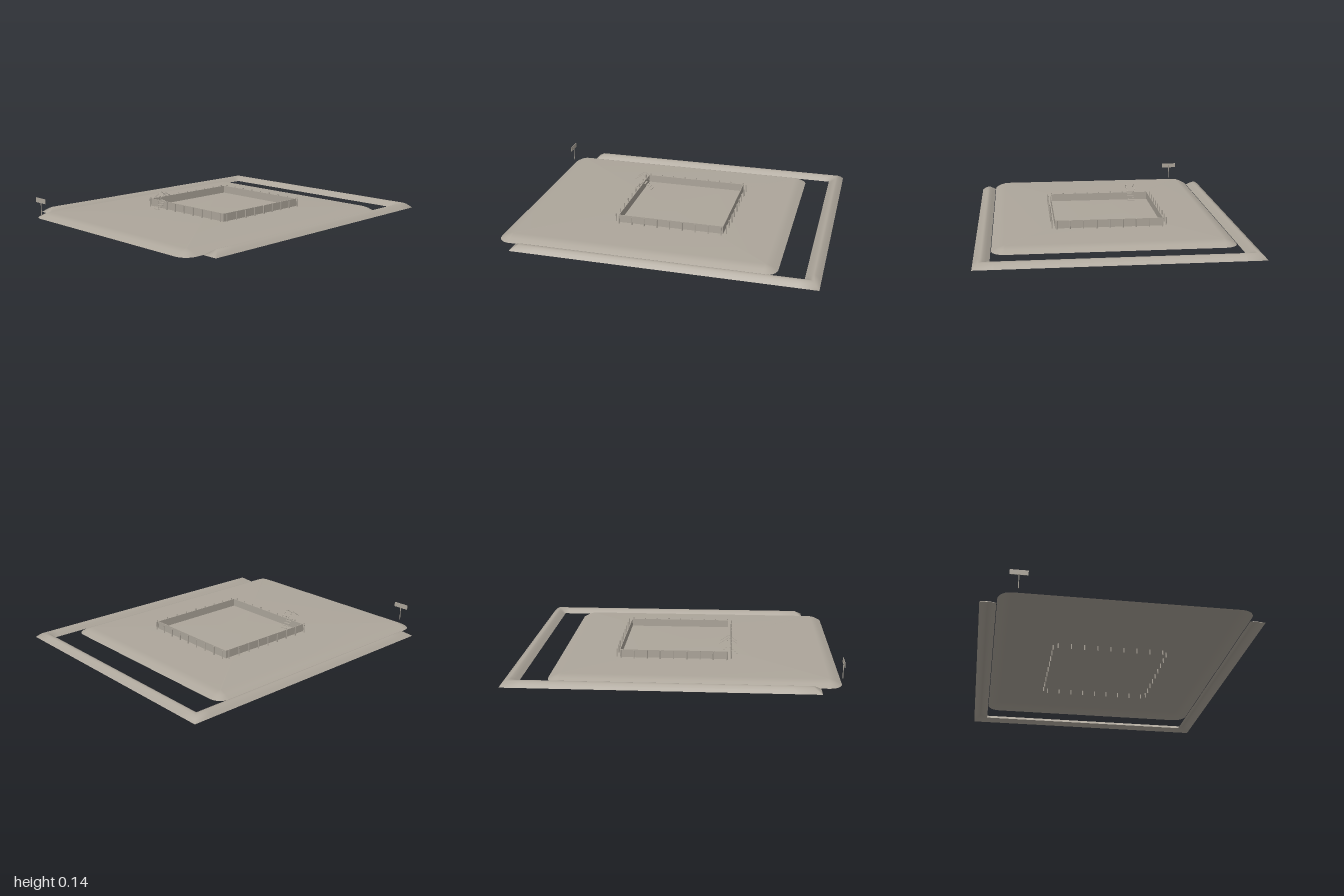
import * as THREE from 'three';

const concrete = new THREE.MeshStandardMaterial({ color: 0xada69b, side: THREE.DoubleSide });
concrete.name = 'concrete';

const TOP = 0.033; // height of the ground slab and the banks

function add(group, name, geometry, x = 0, y = 0, z = 0) {
  const mesh = new THREE.Mesh(geometry, concrete);
  mesh.name = name;
  mesh.position.set(x, y, z);
  group.add(mesh);
  return mesh;
}

// Smooth surface through rows of points
function strip(rows) {
  const n = rows[0].length, index = [];
  for (let i = 0; i < rows.length - 1; i++) {
    for (let j = 0; j < n - 1; j++) {
      const a = i * n + j, b = a + n;
      index.push(a, b, a + 1, a + 1, b, b + 1);
    }
  }
  const g = new THREE.BufferGeometry();
  g.setAttribute('position', new THREE.Float32BufferAttribute(rows.flat(2), 3));
  g.setIndex(index);
  g.computeVertexNormals();
  return g;
}

// Rounded rectangle ring, inset from the slab outline
function slabRing(inset, y) {
  const hx = 0.726 - inset, hz = 0.868 - inset, r = 0.08 - inset, steps = 6, ring = [];
  const corners = [[1, 1], [-1, 1], [-1, -1], [1, -1]];
  corners.forEach(([sx, sz], k) => {
    for (let i = 0; i <= steps; i++) {
      const t = (k + i / steps) * Math.PI / 2;
      ring.push([sx * (hx - r) + r * Math.cos(t), y, 0.121 + sz * (hz - r) + r * Math.sin(t)]);
    }
  });
  ring.push([...ring[0]]);
  return ring;
}

// Thin ground shell, open underneath, with sloping edges
function makeSlab(model) {
  const high = slabRing(0.075, TOP);
  const centre = high.map(() => [0, TOP, 0.121]);
  add(model, 'groundSlab', strip([slabRing(0, 0), slabRing(0.035, 0.019), high, centre]));
}

// U-shaped bank: rounded ridge along both sides and the back, with sloping ends
function makeBank(model) {
  const X = 0.823, END = 0.862, SOFT = 0.12;
  const profile = [[0, 0], [0.017, 0.016], [0.033, 0.028], [0.045, TOP], [0.058, 0.029], [0.074, 0.017], [0.094, 0]];
  const rows = profile.map(([d, h]) => {
    const z = END - 0.052 * h / TOP;
    const half = [
      [-X + d, 0, END], [-X + d, h, z], [-X + d, h, z - SOFT],
      [-X + d, h, -1 + SOFT], [-X + d, h, -1 + d], [-X + SOFT, h, -1 + d],
    ];
    const mirrored = half.map(([x, y, pz]) => [-x, y, pz]).reverse();
    return [...half, ...mirrored];
  });
  add(model, 'bank', strip(rows));
}

// Square enclosure of thin boards with posts outside
function makeEnclosure() {
  const fence = new THREE.Group();
  fence.name = 'enclosure';
  fence.position.z = -0.016;
  const half = 0.339, t = 0.004, h = 0.05;
  const board = new THREE.BoxGeometry(half * 2, h, t);
  const post = new THREE.CylinderGeometry(0.004, 0.004, 0.086, 8);
  for (let side = 0; side < 4; side++) {
    const wall = new THREE.Group();
    wall.name = 'wall';
    wall.rotation.y = side * Math.PI / 2;
    add(wall, 'board', board, 0, TOP + h / 2, half - t / 2);
    for (let i = -4; i <= 4; i++) add(wall, 'post', post, i * 0.0825, 0.043, 0.358);
    fence.add(wall);
  }
  return fence;
}

// Steps over the front wall with a pair of peaked handrails
function makeStile() {
  const stile = new THREE.Group();
  stile.name = 'stile';
  stile.position.set(-0.219, 0, 0.324);
  const tread = new THREE.BoxGeometry(0.047, 0.003, 0.012);
  add(stile, 'topTread', tread, 0, 0.087, 0);
  for (const s of [-1, 1]) {
    for (let i = 1; i <= 4; i++) add(stile, 'tread', tread, 0, 0.087 - i * 0.0125, s * i * 0.0138);
    for (const x of [-0.026, 0.026]) {
      const rail = add(stile, 'handrail', new THREE.BoxGeometry(0.002, 0.002, 0.067), x, 0.124, s * 0.0275);
      rail.rotation.x = s * Math.atan2(0.038, 0.055);
    }
  }
  return stile;
}

function makeSign() {
  const sign = new THREE.Group();
  sign.name = 'sign';
  sign.position.set(-0.617, 0, 0.997);
  add(sign, 'signPole', new THREE.CylinderGeometry(0.0025, 0.0025, 0.1, 8), 0, 0.075, -0.0005);
  add(sign, 'signBoard', new THREE.BoxGeometry(0.104, 0.031, 0.003), 0, 0.123, 0.0015);
  return sign;
}

export function createModel() {
  const model = new THREE.Group();
  model.name = 'enclosureOnSlab';
  makeSlab(model);
  makeBank(model);
  model.add(makeEnclosure(), makeStile(), makeSign());
  return model;
}
